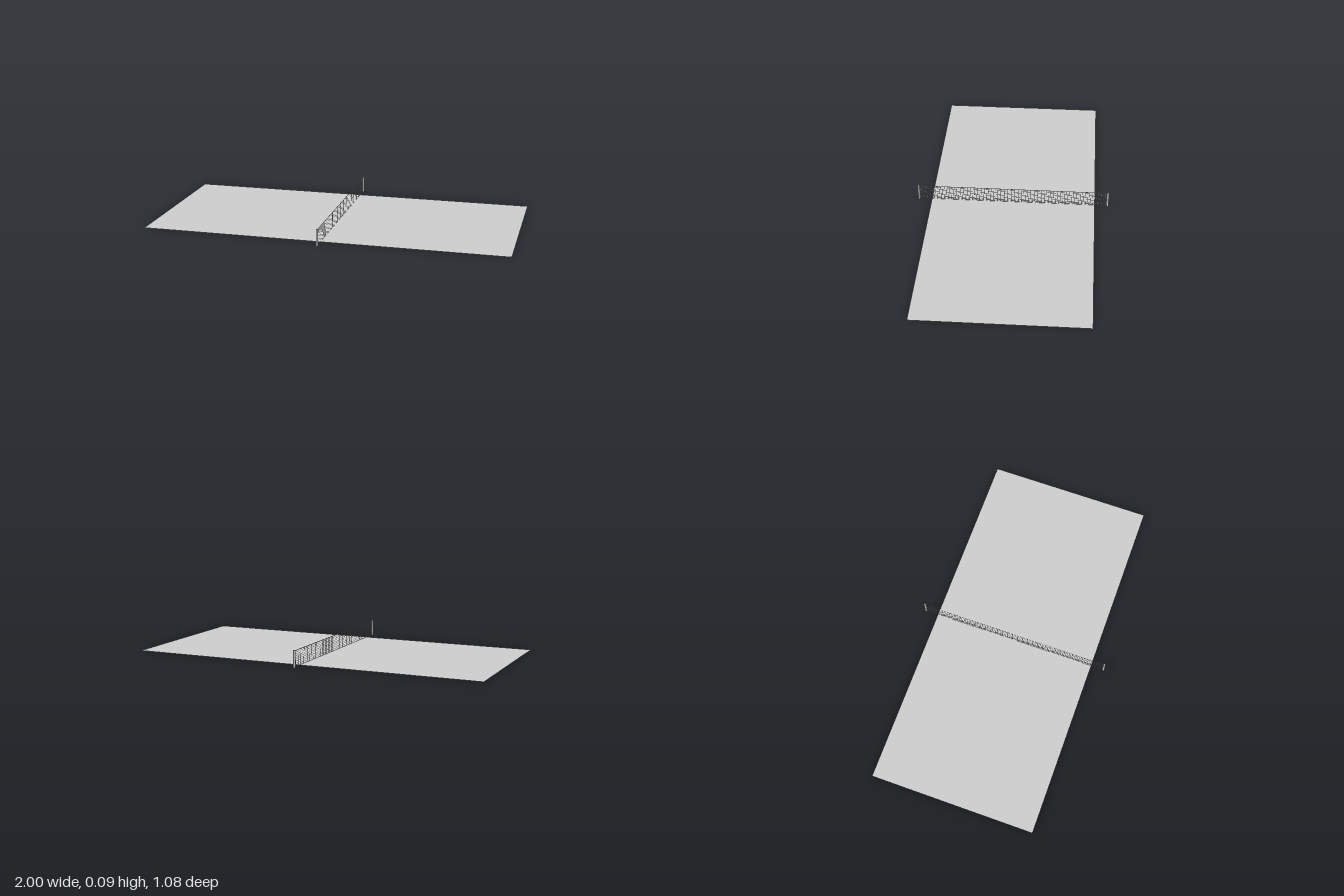
import * as THREE from 'three';
import { mergeGeometries } from 'three/addons/utils/BufferGeometryUtils.js';

const COURT_LENGTH = 2;
const COURT_WIDTH = 0.924;
const NET_HALF = 0.528;
const NET_BOTTOM = 0.004;
const NET_TOP = 0.09;
const COLUMNS = 106;
const ROWS = 9;
const STRAND = 0.0014;

export function createModel() {
  const model = new THREE.Group();
  const grey = new THREE.MeshStandardMaterial({ color: 0xcccccc, side: THREE.DoubleSide });

  const add = (name, geometry) => {
    const mesh = new THREE.Mesh(geometry, grey);
    mesh.name = name;
    model.add(mesh);
    return mesh;
  };

  // Flat strip standing in the x = 0 plane
  const strip = (width, height, y, z) =>
    new THREE.PlaneGeometry(width, height).rotateY(Math.PI / 2).translate(0, y, z);

  // Court surface
  add('court', new THREE.PlaneGeometry(COURT_LENGTH, COURT_WIDTH).rotateX(-Math.PI / 2));

  // Net mesh: upright and level strands
  const height = NET_TOP - NET_BOTTOM;
  const middle = (NET_TOP + NET_BOTTOM) / 2;
  const strands = [];
  for (let i = 0; i <= COLUMNS; i++) {
    const z = -NET_HALF + (2 * NET_HALF * i) / COLUMNS;
    strands.push(strip(STRAND, height, middle, z));
  }
  for (let j = 0; j <= ROWS; j++) {
    strands.push(strip(2 * NET_HALF, STRAND, NET_BOTTOM + (height * j) / ROWS, 0));
  }
  add('netStrands', mergeGeometries(strands));

  // Tape along the top of the net
  add('netTape', strip(2 * NET_HALF, 0.004, NET_TOP - 0.001, 0));

  // Side bands and posts
  for (const side of [-1, 1]) {
    const end = side > 0 ? 'Front' : 'Back';
    add('netBand' + end, strip(0.003, height, middle, side * (NET_HALF - 0.001)));
    const post = new THREE.CylinderGeometry(0.006, 0.006, 0.092, 12);
    add('post' + end, post.translate(0, 0.046, side * 0.534));
  }

  return model;
}
